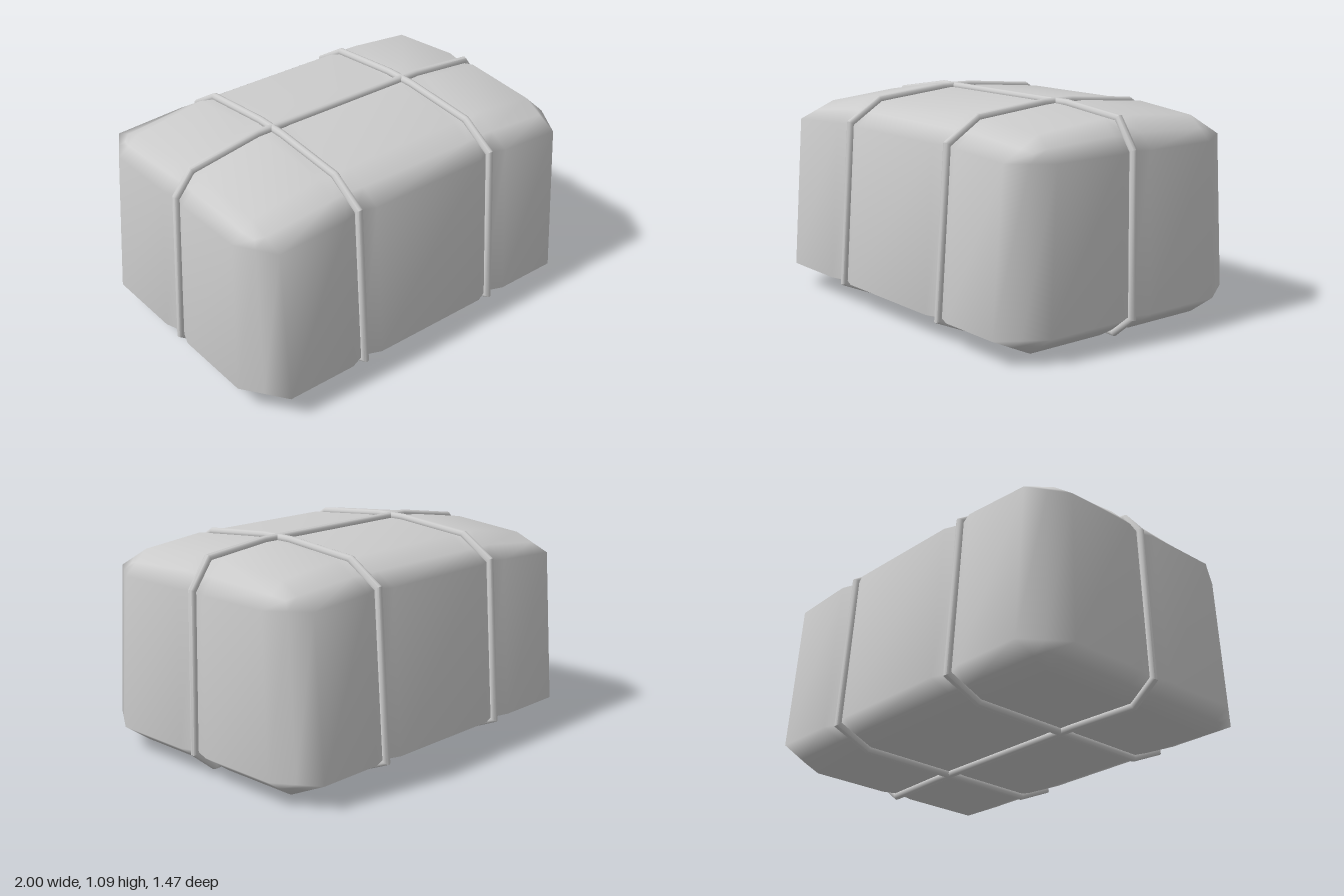
import * as THREE from 'three';
import { mergeVertices, toCreasedNormals } from 'three/addons/utils/BufferGeometryUtils.js';

// Grid stations of the bundle; first and last of each are the outer faces
const xs = [-1, -0.85, -0.48, -0.39, -0.3, 0.35, 0.43, 0.52, 0.86, 1];
const ys = [0.02, 0.11, 0.91, 1.067];
const zs = [-0.732, -0.52, -0.095, 0.006, 0.095, 0.52, 0.735];
const last = [xs.length - 1, ys.length - 1, zs.length - 1];
const ropeColumns = [3, 6], ropeRow = 3;

// Point on one face (axis 0, 1 or 2), with taper, sagging ends and rope grooves
function facePoint(axis, [i, j, k]) {
  let x = xs[i], y = ys[j], z = zs[k];
  const t = j >= 2 ? 1 : 0;
  z *= 1 - 0.08 * t;
  const atEnd = i <= 1 || i >= last[0] - 1;
  const inGroove = (axis !== 0 && ropeColumns.includes(i)) || (axis !== 2 && k === ropeRow);
  if (axis === 0) {
    x *= 1 - (x < 0 ? 0.035 : 0.015) * t;
    if (inGroove) x -= Math.sign(x) * 0.033;
    if (t) y -= 0.025;
  } else if (axis === 1) {
    if (j === 0) y += (atEnd ? -0.01 : 0) + (inGroove ? 0.012 : 0);
    else {
      if (k === 1 || k === last[2] - 1) y -= 0.035;
      if (atEnd) y -= x < 0 ? 0.06 : 0.033;
      if (inGroove) y -= 0.02;
    }
  } else {
    if (inGroove) z -= Math.sign(z) * 0.035;
    if (t && atEnd) y -= 0.02;
  }
  return new THREE.Vector3(x, y, z);
}

// Edges and corners average the neighbouring faces, which cuts them to chamfers
function bundlePoint(index) {
  const sum = new THREE.Vector3();
  const outer = [0, 1, 2].filter(a => index[a] === 0 || index[a] === last[a]);
  for (const axis of outer) {
    const inner = index.map((v, a) => a === axis ? v : Math.min(Math.max(v, 1), last[a] - 1));
    sum.add(facePoint(axis, inner));
  }
  return sum.divideScalar(outer.length);
}

function bundleGeometry() {
  let geo = new THREE.BoxGeometry(1, 1, 1, ...last);
  geo.deleteAttribute('normal');
  geo.deleteAttribute('uv');
  geo = mergeVertices(geo);
  const pos = geo.attributes.position;
  for (let n = 0; n < pos.count; n++) {
    const index = [pos.getX(n), pos.getY(n), pos.getZ(n)].map((v, a) => Math.round((v + 0.5) * last[a]));
    const p = bundlePoint(index);
    pos.setXYZ(n, p.x, p.y, p.z);
  }
  geo.computeVertexNormals();
  return geo;
}

// Closed rope with mitred bends, running anticlockwise about the axis
function ropeGeometry(path, axis, radius = 0.02, sides = 10, lift = 0.012) {
  const count = path.length, verts = [], faces = [];
  path.forEach((p, n) => {
    const tin = p.clone().sub(path[(n + count - 1) % count]).normalize();
    const tout = path[(n + 1) % count].clone().sub(p).normalize();
    const mitre = 1 / Math.sqrt((1 + tin.dot(tout)) / 2);
    const out = tin.add(tout).normalize().cross(axis).multiplyScalar(mitre);
    const centre = p.clone().addScaledVector(out, lift);
    for (let s = 0; s < sides; s++) {
      const a = s / sides * Math.PI * 2;
      const v = centre.clone().addScaledVector(out, radius * Math.cos(a)).addScaledVector(axis, radius * Math.sin(a));
      verts.push(v.x, v.y, v.z);
      const s1 = (s + 1) % sides, n1 = (n + 1) % count;
      const A = n * sides + s, B = n * sides + s1, C = n1 * sides + s, D = n1 * sides + s1;
      faces.push(A, C, B, B, C, D);
    }
  });
  const geo = new THREE.BufferGeometry();
  geo.setAttribute('position', new THREE.Float32BufferAttribute(verts, 3));
  geo.setIndex(faces);
  return toCreasedNormals(geo, 0.7);
}

const range = (a, b) => Array.from({ length: Math.abs(b - a) + 1 }, (_, n) => a + n * Math.sign(b - a));

export function createModel() {
  const group = new THREE.Group();
  const material = new THREE.MeshStandardMaterial({ color: 0xcccccc });
  const add = (name, geo) => {
    const mesh = new THREE.Mesh(geo, material);
    mesh.name = name;
    group.add(mesh);
  };
  const [I, J, K] = last;

  add('bundle', bundleGeometry());

  // Two ropes tied across the bundle, front to back
  ropeColumns.forEach((i, n) => {
    const path = [
      ...range(1, K - 1).map(k => [i, J, k]), ...range(J - 1, 1).map(j => [i, j, K]),
      ...range(K - 1, 1).map(k => [i, 0, k]), ...range(1, J - 1).map(j => [i, j, 0]),
    ].map(bundlePoint);
    add(n ? 'leftCrossRope' : 'rightCrossRope', ropeGeometry(path, new THREE.Vector3(1, 0, 0)));
  });

  // One rope tied lengthwise, end to end
  const k = ropeRow;
  const path = [
    ...range(I - 1, 1).map(i => [i, J, k]), ...range(J - 1, 1).map(j => [0, j, k]),
    ...range(1, I - 1).map(i => [i, 0, k]), ...range(1, J - 1).map(j => [I, j, k]),
  ].map(bundlePoint);
  add('lengthwiseRope', ropeGeometry(path, new THREE.Vector3(0, 0, 1)));

  return group;
}
